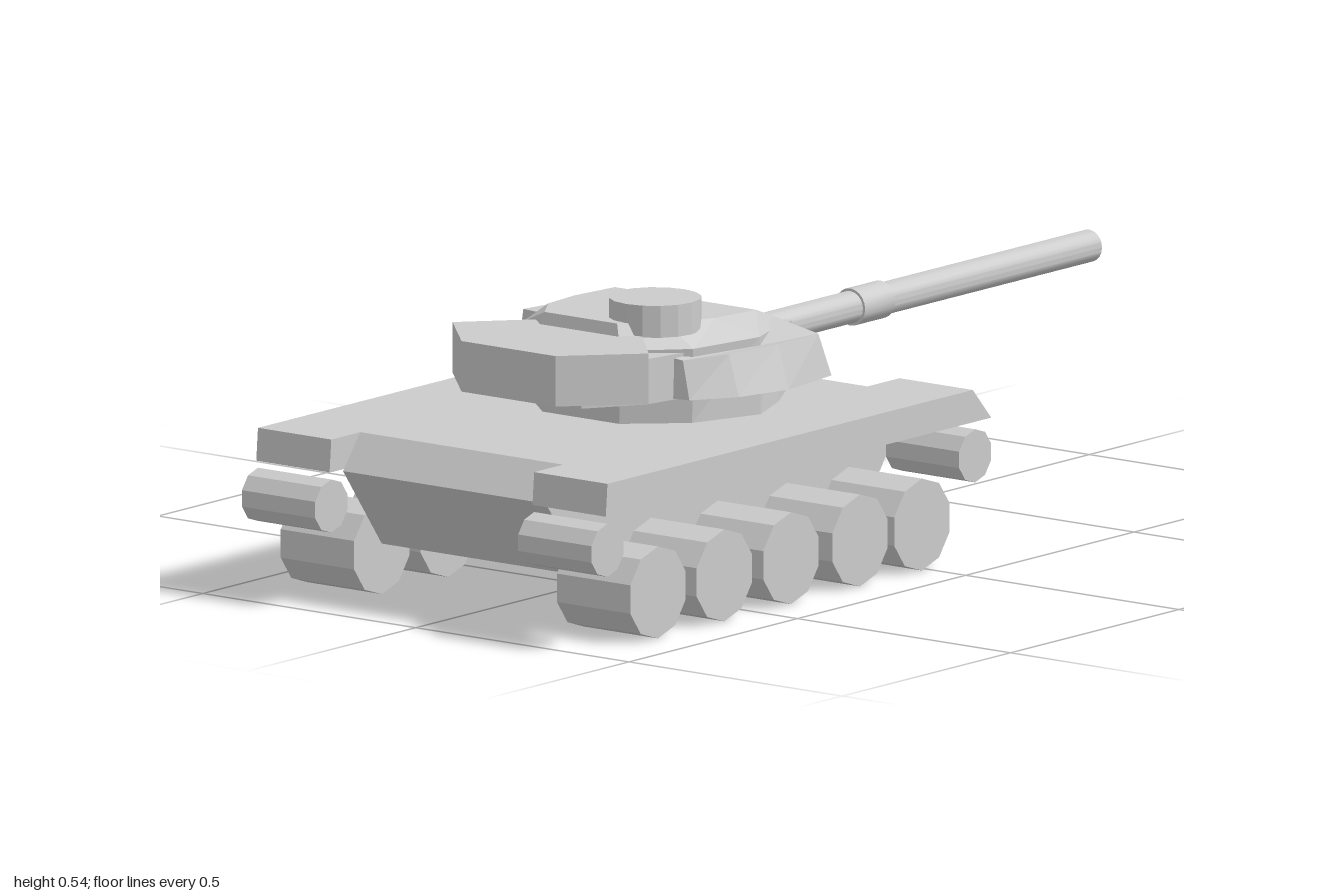
import * as THREE from 'three';
import { toCreasedNormals } from 'three/addons/utils/BufferGeometryUtils.js';

const flat = new THREE.MeshStandardMaterial({ color: 0xcccccc, flatShading: true });
const smooth = new THREE.MeshStandardMaterial({ color: 0xcccccc });
const sheet = new THREE.MeshStandardMaterial({ color: 0xcccccc, side: THREE.DoubleSide });

function add(parent, name, geometry, material = flat) {
  const mesh = new THREE.Mesh(geometry, material);
  mesh.name = name;
  parent.add(mesh);
  return mesh;
}

// Closed solid through rings of [x, y, z], each counter-clockwise seen from above
function loft(rings) {
  const pos = [];
  const quad = (a, b, c, d) => pos.push(...a, ...b, ...c, ...a, ...c, ...d);
  const n = rings[0].length;
  for (let r = 0; r < rings.length - 1; r++) {
    for (let i = 0; i < n; i++) {
      const j = (i + 1) % n, lo = rings[r], hi = rings[r + 1];
      quad(lo[i], lo[j], hi[j], hi[i]);
    }
  }
  // Caps run in strips from the first edge to the far end
  const bottom = rings[0], top = rings[rings.length - 1];
  for (let i = 0; i < Math.floor((n - 1) / 2); i++) {
    const j = n - 1 - i;
    quad(top[j], top[i], top[i + 1], top[j - 1]);
    quad(bottom[i], bottom[j], bottom[j - 1], bottom[i + 1]);
  }
  const g = new THREE.BufferGeometry();
  g.setAttribute('position', new THREE.Float32BufferAttribute(pos, 3));
  g.computeVertexNormals();
  return g;
}

// Half outline, front to rear, mirrored into a full ring
const mirrorRing = (half) => [
  ...half.map(([x, y, z]) => [x, y, -z]),
  ...[...half].reverse(),
];

// Solid on one side of the turret (side = 1 is +z)
const sideSolid = (rings, side) => loft(rings.map((ring) => {
  const r = ring.map(([x, y, z]) => [x, y, z * side]);
  return side > 0 ? r.reverse() : r;
}));

// Extrude an x-y profile between two z positions
function slab(shape, z0, z1) {
  const g = new THREE.ExtrudeGeometry(shape, { depth: z1 - z0, bevelEnabled: false });
  return g.translate(0, 0, z0);
}

function createHull() {
  const hull = new THREE.Group();
  hull.name = 'hull';
  const halfWidth = 0.238;
  // Hull profile from the rear edge over the deck to the rounded nose, open below
  const profile = new THREE.Shape();
  profile.moveTo(-0.8, 0.095);
  profile.lineTo(-0.915, 0.25);
  profile.lineTo(-0.864, 0.315);
  profile.lineTo(0.04, 0.315);
  profile.bezierCurveTo(0.168, 0.25, 0.09, 0.13, 0.0, 0.095);
  const points = profile.getPoints(12);
  const skin = new THREE.PlaneGeometry(1, 1, points.length - 1, 1);
  const pos = skin.attributes.position;
  for (let i = 0; i < pos.count; i++) {
    const p = points[i % points.length];
    pos.setXYZ(i, p.x, p.y, i < points.length ? -halfWidth : halfWidth);
  }
  add(hull, 'hullPlating', toCreasedNormals(skin, 0.5), sheet);
  for (const z of [halfWidth, -halfWidth]) {
    add(hull, 'hullSide', new THREE.ShapeGeometry(profile, 12), sheet).position.z = z;
  }
  // Track guards
  const guard = new THREE.Shape([[-0.955, 0.254], [0.19, 0.254], [0.135, 0.315], [-0.95, 0.315]]
    .map(([x, y]) => new THREE.Vector2(x, y)));
  add(hull, 'leftTrackGuard', slab(guard, halfWidth, 0.41));
  add(hull, 'rightTrackGuard', slab(guard, -0.41, -halfWidth));
  return hull;
}

function createWheels() {
  const wheels = new THREE.Group();
  wheels.name = 'runningGear';
  const wheel = (r) => new THREE.CylinderGeometry(r, r, 0.172, 10).rotateX(Math.PI / 2);
  const road = wheel(0.0865), end = wheel(0.05);
  for (const z of [0.324, -0.324]) {
    for (const x of [-0.8, -0.603, -0.405, -0.2, -0.016]) {
      add(wheels, 'roadWheel', road).position.set(x, 0.0865, z);
    }
    add(wheels, 'rearSprocket', end).position.set(-0.95, 0.19, z);
    add(wheels, 'frontIdler', end).position.set(0.142, 0.19, z);
  }
  return wheels;
}

function createTurret() {
  const turret = new THREE.Group();
  turret.name = 'turret';
  // Faceted shell: foot, shoulder, roof with a sloping front
  add(turret, 'turretShell', loft([
    [[-0.04, 0.315, 0.118], [-0.17, 0.315, 0.195], [-0.28, 0.315, 0.24], [-0.42, 0.315, 0.19], [-0.51, 0.315, 0.09]],
    [[-0.055, 0.44, 0.118], [-0.18, 0.452, 0.188], [-0.28, 0.46, 0.238], [-0.43, 0.457, 0.2], [-0.52, 0.455, 0.1]],
    [[-0.06, 0.443, 0.115], [-0.2, 0.489, 0.165], [-0.32, 0.493, 0.165], [-0.43, 0.499, 0.14], [-0.51, 0.503, 0.085]],
  ].map(mirrorRing)));
  // Overhanging rear and its stowage bin
  add(turret, 'turretOverhang', loft([
    [[-0.42, 0.365, 0.19], [-0.53, 0.365, 0.17], [-0.635, 0.365, 0.1]],
    [[-0.42, 0.45, 0.19], [-0.53, 0.45, 0.17], [-0.635, 0.45, 0.1]],
  ].map(mirrorRing)));
  add(turret, 'stowageBin', loft([0.385, 0.48].map((y) =>
    mirrorRing([[-0.48, y, 0.12], [-0.6, y, 0.23], [-0.725, y, 0.11]]))));

  // Wedge armour on the cheeks, the left one reaching further back
  add(turret, 'leftCheekArmour', sideSolid([
    [[-0.11, 0.367, 0.15], [-0.12, 0.367, 0.28], [-0.27, 0.367, 0.298], [-0.38, 0.367, 0.268], [-0.46, 0.367, 0.215], [-0.48, 0.367, 0.1]],
    [[-0.13, 0.463, 0.155], [-0.14, 0.447, 0.265], [-0.27, 0.45, 0.272], [-0.38, 0.445, 0.245], [-0.46, 0.44, 0.2], [-0.48, 0.455, 0.1]],
  ], 1));
  add(turret, 'rightCheekArmour', sideSolid([
    [[-0.11, 0.367, 0.145], [-0.12, 0.367, 0.282], [-0.32, 0.367, 0.298], [-0.345, 0.367, 0.18]],
    [[-0.13, 0.463, 0.15], [-0.14, 0.449, 0.268], [-0.32, 0.452, 0.285], [-0.345, 0.455, 0.18]],
  ], -1));
  // Small box behind the right cheek
  add(turret, 'rightSideBox', sideSolid([0.367, 0.442].map((y) =>
    [[-0.405, y, 0.17], [-0.405, y, 0.285], [-0.49, y, 0.272], [-0.535, y, 0.2], [-0.5, y, 0.13]]), -1));

  // Commander hatch drum
  add(turret, 'cupola', new THREE.CylinderGeometry(0.086, 0.086, 0.06, 16)).position.set(-0.407, 0.508, 0.093);
  return turret;
}

function createGun() {
  const gun = new THREE.Group();
  gun.name = 'gun';
  // Mantlet tapering forward
  add(gun, 'mantlet', loft([
    [[0.003, 0.36, 0.09], [-0.08, 0.355, 0.107]],
    [[0.003, 0.426, 0.09], [-0.08, 0.43, 0.107]],
  ].map(mirrorRing)));
  // Hollow barrel with a sleeve partway along
  const profile = [[0.03, -0.05], [0.03, 0.29], [0.035, 0.29], [0.035, 0.38], [0.03, 0.38], [0.03, 1], [0.024, 1], [0.024, 0.7], [0, 0.7]]
    .map(([r, x]) => new THREE.Vector2(r, x));
  const barrel = toCreasedNormals(new THREE.LatheGeometry(profile, 20).rotateZ(-Math.PI / 2), 0.6);
  add(gun, 'barrel', barrel, smooth).position.y = 0.393;
  return gun;
}

export function createModel() {
  const model = new THREE.Group();
  model.name = 'tank';
  model.add(createHull(), createWheels(), createTurret(), createGun());
  return model;
}
